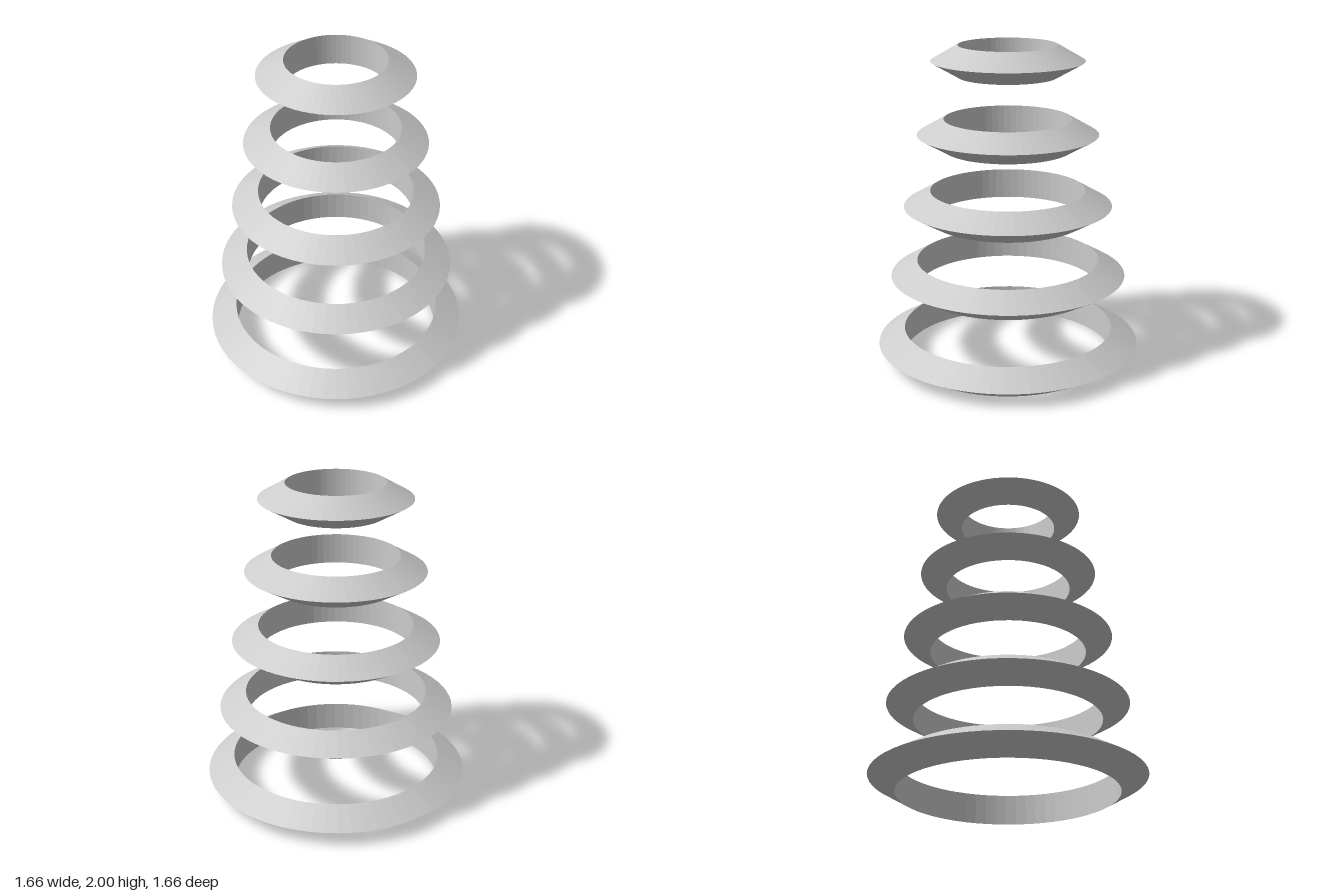
import * as THREE from 'three';

export function createModel() {
  const group = new THREE.Group();
  group.name = 'ringTower';
  const material = new THREE.MeshStandardMaterial({ color: 0xcccccc, flatShading: true });

  const count = 5;
  const tube = 0.1105;                        // centre of the triangular section to its corners
  const halfHeight = tube * Math.sqrt(3) / 2;
  const spacing = (2 - 2 * halfHeight) / (count - 1);

  // Floating rings of triangular section, narrowing evenly towards the top
  for (let i = 0; i < count; i++) {
    const geometry = new THREE.TorusGeometry(0.722 - 0.0905 * i, tube, 3, 64);
    geometry.rotateX(-Math.PI / 2);
    const ring = new THREE.Mesh(geometry, material);
    ring.name = `ring${i + 1}`;
    ring.position.y = halfHeight + spacing * i;
    group.add(ring);
  }
  return group;
}
